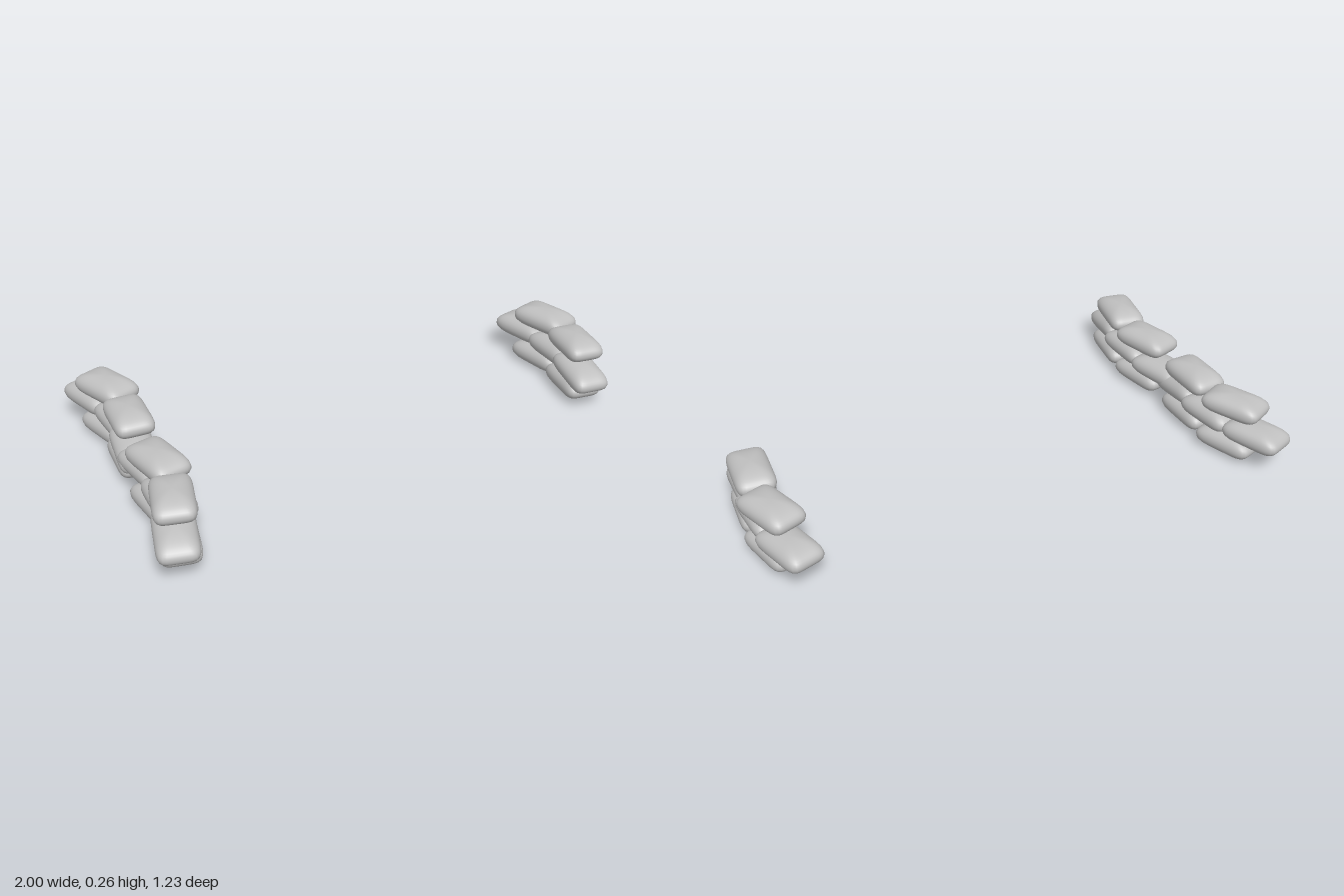
import * as THREE from 'three';
import { mergeVertices } from 'three/addons/utils/BufferGeometryUtils.js';

// Stuffed bag: rounded rectangle seen from above, bulging lens from the sides
function bagGeometry(width, height, length) {
  let geo = new THREE.SphereGeometry(1, 48, 24);
  geo.deleteAttribute('uv');
  geo.deleteAttribute('normal');
  geo = mergeVertices(geo, 1e-4);
  const p = geo.attributes.position;
  const n = 6, m = 2.2; // squareness of the plan and of the side profile
  for (let i = 0; i < p.count; i++) {
    const x = p.getX(i), y = p.getY(i), z = p.getZ(i);
    const r = Math.hypot(x, z);
    const c = r > 1e-5 ? x / r : 1, s = r > 1e-5 ? z / r : 0;
    const plan = Math.pow(Math.abs(c) ** n + Math.abs(s) ** n, -1 / n);
    const side = Math.pow(r ** m + Math.abs(y) ** m, -1 / m);
    p.setXYZ(i,
      c * plan * r * side * width / 2,
      y * side * height / 2,
      s * plan * r * side * length / 2);
  }
  geo.computeVertexNormals();
  return geo;
}

export function createModel() {
  const model = new THREE.Group();
  model.name = 'sandbagWalls';
  const cloth = new THREE.MeshStandardMaterial({ color: 0xbfbfbf });
  cloth.name = 'grey cloth';
  const bag = bagGeometry(0.146, 0.096, 0.24);

  // Each bag: x, z, yaw; the rows run from front to back
  const walls = {
    leftWall: {
      bottom: [[0.89, 0.105, -0.12], [0.9, -0.135, 0.2]],
      middle: [[0.876, 0.168, -0.1], [0.902, -0.035, 0.03], [0.89, -0.25, 0.26]],
      top: [[0.89, 0.1, -0.12], [0.905, -0.138, 0.3]],
    },
    rightFrontWall: {
      bottom: [[-0.885, 0.425, -0.2], [-0.865, 0.185, 0.15]],
      middle: [[-0.908, 0.488, -0.22], [-0.862, 0.285, 0], [-0.865, 0.07, 0.2]],
      top: [[-0.888, 0.42, -0.23], [-0.86, 0.18, 0.24]],
    },
    rightBackWall: {
      bottom: [[-0.868, -0.135, -0.03], [-0.875, -0.375, 0.3]],
      middle: [[-0.875, -0.072, -0.08], [-0.86, -0.275, 0.1], [-0.905, -0.488, 0.32]],
      top: [[-0.866, -0.138, -0.02], [-0.877, -0.382, 0.4]],
    },
  };
  const heights = { bottom: 0.048, middle: 0.125, top: 0.211 };

  for (const [wallName, rows] of Object.entries(walls)) {
    const wall = new THREE.Group();
    wall.name = wallName;
    for (const [row, bags] of Object.entries(rows)) {
      bags.forEach(([x, z, yaw], i) => {
        const mesh = new THREE.Mesh(bag, cloth);
        mesh.name = `${row}Sandbag${i + 1}`;
        // The overhanging front bag of the middle row droops
        const droop = row === 'middle' && i === 0;
        mesh.position.set(x, heights[row] - (droop ? 0.006 : 0), z);
        mesh.rotation.set(droop ? 0.14 : 0, yaw, 0, 'YXZ');
        wall.add(mesh);
      });
    }
    model.add(wall);
  }
  return model;
}
